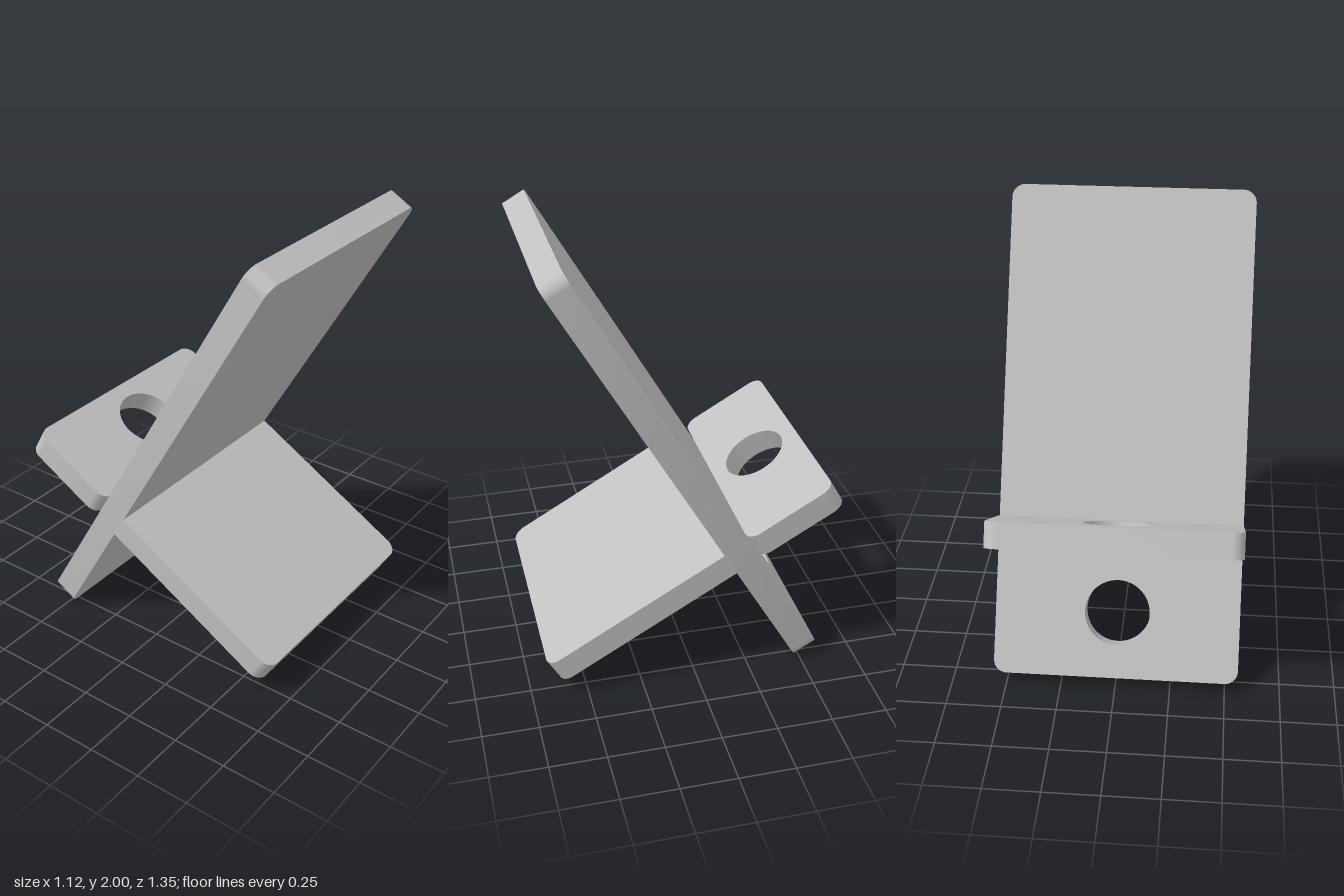
import * as THREE from 'three';
import { toCreasedNormals } from 'three/addons/utils/BufferGeometryUtils.js';

const HALF_WIDTH = 0.558, THICKNESS = 0.1155, CORNER = 0.06, HOLE_RADIUS = 0.148;

// Flat panel running up from y = 0, with rounded ends and an optional cable hole
function panelGeometry(length, startRadius, endRadius, holeY) {
  const w = HALF_WIDTH, a = startRadius, b = endRadius;
  const s = new THREE.Shape();
  s.moveTo(-w + a, 0);
  s.lineTo(w - a, 0);
  if (a) s.absarc(w - a, a, a, -Math.PI / 2, 0, false);
  s.lineTo(w, length - b);
  if (b) s.absarc(w - b, length - b, b, 0, Math.PI / 2, false);
  s.lineTo(-w + b, length);
  if (b) s.absarc(-w + b, length - b, b, Math.PI / 2, Math.PI, false);
  s.lineTo(-w, a);
  if (a) s.absarc(-w + a, a, a, Math.PI, Math.PI * 1.5, false);
  if (holeY !== undefined) {
    const hole = new THREE.Path();
    hole.absarc(0, holeY, HOLE_RADIUS, 0, Math.PI * 2, true);
    s.holes.push(hole);
  }
  const g = new THREE.ExtrudeGeometry(s, { depth: THICKNESS, bevelEnabled: false, curveSegments: 24 });
  return toCreasedNormals(g, Math.PI / 6);
}

export function createModel() {
  const group = new THREE.Group();
  group.name = 'deviceStand';
  const grey = new THREE.MeshStandardMaterial({ color: 0xc0c0c0 });
  grey.name = 'lightGrey';

  const addPanel = (name, geometry, y, z, tilt) => {
    const mesh = new THREE.Mesh(geometry, grey);
    mesh.name = name;
    mesh.position.set(0, y, z);
    mesh.rotation.x = tilt;
    group.add(mesh);
  };

  // Long leaning panel, with a hole in its foot
  addPanel('backPanel', panelGeometry(2.241, CORNER, CORNER, 0.3), 0.058, -0.585, Math.PI / 6);

  // Crossing panel: front ledge and rear plate on one slope, either side of the long panel
  const slope = -Math.PI / 3, y0 = 0.063, z0 = 0.617;
  const rearStart = 0.932 + THICKNESS;
  addPanel('frontLedge', panelGeometry(0.932, CORNER, 0), y0, z0, slope);
  addPanel('rearPlate', panelGeometry(0.442, CORNER, CORNER, 0.221),
    y0 + rearStart * Math.cos(slope), z0 + rearStart * Math.sin(slope), slope);

  return group;
}
